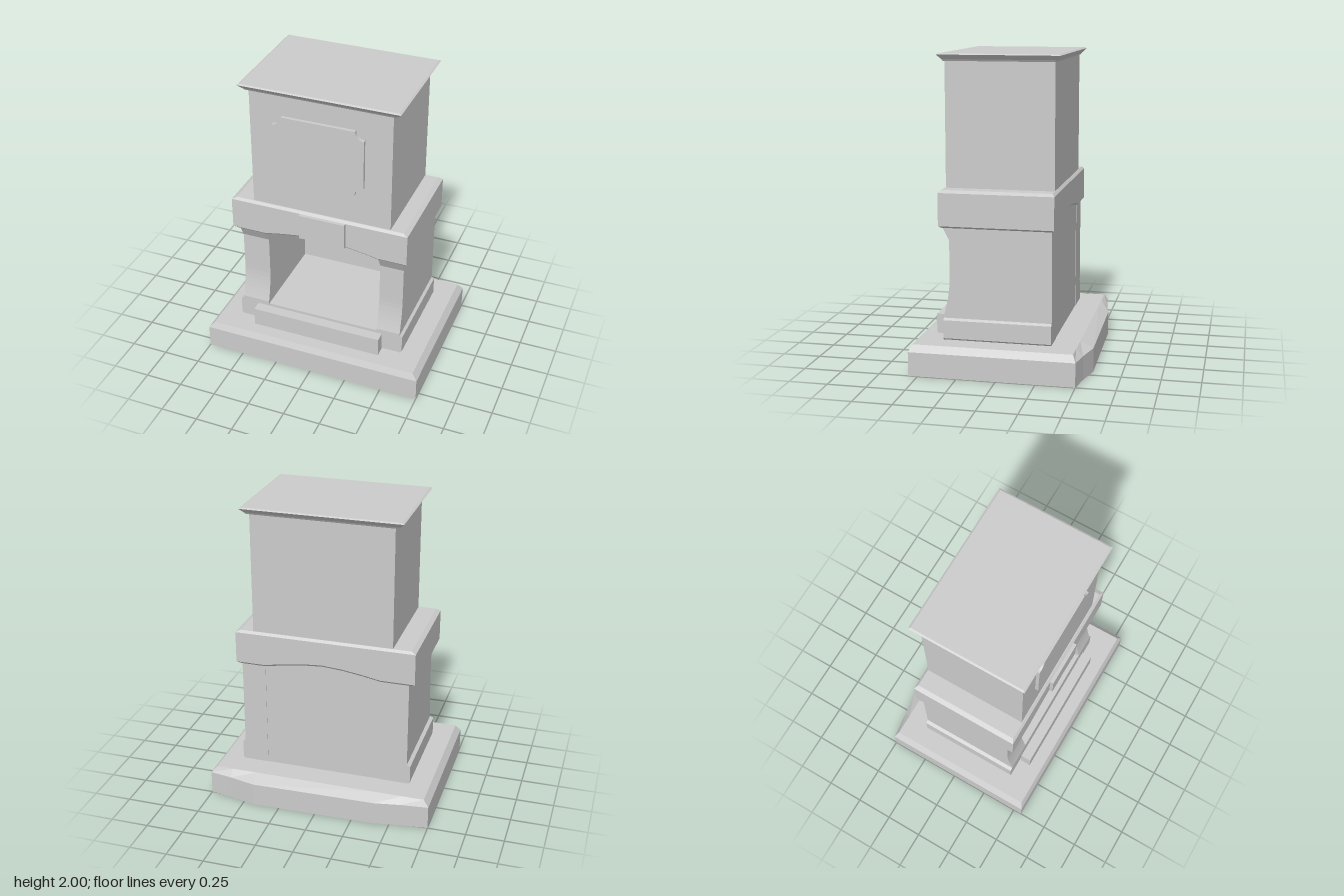
import * as THREE from 'three';

const material = new THREE.MeshStandardMaterial({ color: 0xcccccc, flatShading: true, side: THREE.DoubleSide });

function add(parent, name, geometry) {
  const mesh = new THREE.Mesh(geometry, material);
  mesh.name = name;
  parent.add(mesh);
  return mesh;
}

// Box given by its limits on each axis
function box(x0, x1, y0, y1, z0, z1) {
  return new THREE.BoxGeometry(x1 - x0, y1 - y0, z1 - z0)
    .translate((x0 + x1) / 2, (y0 + y1) / 2, (z0 + z1) / 2);
}

// Skin a series of rings with equal point counts, with optional end caps
function loft(rings, capStart = true, capEnd = true) {
  const out = [];
  const tri = (a, b, c) => out.push(...a, ...b, ...c);
  const n = rings[0].length;
  for (let r = 0; r < rings.length - 1; r++) {
    for (let i = 0; i < n; i++) {
      const j = (i + 1) % n;
      const [a, b, c, d] = [rings[r][i], rings[r][j], rings[r + 1][j], rings[r + 1][i]];
      tri(a, b, c);
      tri(a, c, d);
    }
  }
  const first = rings[0], last = rings[rings.length - 1];
  for (let i = 1; i < n - 1; i++) {
    if (capStart) tri(first[0], first[i + 1], first[i]);
    if (capEnd) tri(last[0], last[i], last[i + 1]);
  }
  const g = new THREE.BufferGeometry();
  g.setAttribute('position', new THREE.Float32BufferAttribute(out, 3));
  g.computeVertexNormals();
  return g;
}

const rect = (x0, x1, z0, z1, y) => [[x0, y, z1], [x1, y, z1], [x1, y, z0], [x0, y, z0]];
const polygon = (pts) => new THREE.Shape(pts.map(([x, y]) => new THREE.Vector2(x, y)));
const extrude = (shape, depth) =>
  new THREE.ExtrudeGeometry(shape, { depth, bevelEnabled: false, curveSegments: 8 });

// Height of the arched underside of the mantel at x
const archPoints = [[-0.375, 0.92], [-0.25, 0.943], [-0.12, 0.962], [0.015, 0.972],
  [0.15, 0.962], [0.28, 0.943], [0.405, 0.92]];

function createBase() {
  const group = new THREE.Group();
  group.name = 'base';
  // Slab outline with a gently bulging back edge
  const outline = [[-0.75, 0.56], [0.75, 0.56], [0.75, -0.5], [0.6, -0.525],
    [0.43, -0.565], [-0.4, -0.55], [-0.57, -0.52], [-0.75, -0.5]];
  const level = (y) => outline.map(([x, z]) => [x, y, z]);
  const top = outline.map(([x, z]) =>
    [THREE.MathUtils.clamp(x, -0.715, 0.715), 0.197, z > 0 ? 0.54 : -0.48]);
  add(group, 'baseSlab', loft([level(0), level(0.155), top], false));
  // Underside stops short of the bulge
  add(group, 'baseUnderside', new THREE.PlaneGeometry(1.5, 1.06).rotateX(Math.PI / 2).translate(0, 0, 0.03));
  return group;
}

function createPillar(name, inner, outer, plinthOuter) {
  const group = new THREE.Group();
  group.name = name;
  // Side profile with a curved front, drawn as (z, y)
  const shape = new THREE.Shape();
  shape.moveTo(-0.32, 0.33);
  shape.lineTo(0.375, 0.33);
  shape.lineTo(0.375, 0.35);
  shape.bezierCurveTo(0.355, 0.42, 0.335, 0.5, 0.335, 0.6);
  shape.lineTo(0.335, 0.84);
  shape.lineTo(0.38, 0.925);
  shape.lineTo(0.38, 0.94);
  shape.lineTo(-0.32, 0.94);
  const x0 = Math.min(inner, outer), x1 = Math.max(inner, outer);
  add(group, 'pillarShaft', extrude(shape, x1 - x0).rotateY(-Math.PI / 2).translate(x1, 0, 0));
  // Plinth block with a small chamfer on its outer side
  const s = Math.sign(outer);
  const plinth = polygon([[inner, 0.195], [plinthOuter - s * 0.01, 0.195], [plinthOuter, 0.207],
    [plinthOuter, 0.325], [outer, 0.337], [inner, 0.337]]);
  add(group, 'pillarPlinth', extrude(plinth, 0.695).translate(0, 0, -0.32));
  return group;
}

function createMantel() {
  const group = new THREE.Group();
  group.name = 'mantel';
  // Chamfered cross-section at x, with its underside at height b
  const zf = 0.397, zb = -0.338, c = 0.015;
  const section = (x, b) => [[zf - c, b], [zb + c, b], [zb, b + c], [zb, 1.145],
    [zb + c, 1.16], [zf - c, 1.16], [zf, 1.145], [zf, b + c]].map(([z, y]) => [x, y, z]);
  const end = (x) => section(x, 0.92).map(([, y, z]) => [x,
    y < 1 ? 0.935 : 1.145, z > 0 ? zf : zb]);
  add(group, 'mantelBeam', loft([
    end(-0.6), section(-0.57, 0.92),
    ...archPoints.map(([x, y]) => section(x, y)),
    section(0.57, 0.92), end(0.6)]));
  // Keystone follows the arch below
  const key = polygon([[-0.12, 0.972], [0.035, 0.982], [0.19, 0.968], [0.19, 1.145], [-0.12, 1.145]]);
  add(group, 'keystone', extrude(key, 0.03).translate(0, 0, 0.39));
  return group;
}

function createChimney() {
  const group = new THREE.Group();
  group.name = 'chimney';
  add(group, 'chimneyBreast', box(-0.45, 0.482, 1.155, 1.96, -0.32, 0.375));

  // Plaque with scooped corners
  const [l, r, b, t, k] = [-0.293, 0.307, 1.37, 1.818, 0.058];
  const plaque = new THREE.Shape();
  plaque.moveTo(l + k, b);
  plaque.lineTo(r - k, b);
  plaque.absarc(r, b, k, Math.PI, Math.PI / 2, true);
  plaque.absarc(r, t, k, Math.PI * 1.5, Math.PI, true);
  plaque.absarc(l, t, k, 0, -Math.PI / 2, true);
  plaque.absarc(l, b, k, Math.PI / 2, 0, true);
  add(group, 'plaque', extrude(plaque, 0.03).translate(0, 0, 0.367));

  // Flared cap
  const ring = (d, y) => rect(-0.51 + d, 0.538 - d, -0.36 + d, 0.415 - d, y);
  add(group, 'chimneyCap', loft([ring(0.035, 1.953), ring(0.027, 1.965), ring(0, 1.993), ring(0.012, 2)]));
  return group;
}

export function createModel() {
  const model = new THREE.Group();
  model.name = 'fireplace';
  model.add(createBase());
  model.add(createPillar('rightPillar', -0.375, -0.56, -0.583));
  model.add(createPillar('leftPillar', 0.405, 0.565, 0.583));

  // Firebox floor, back wall and front hearth step
  add(model, 'fireboxFloor', box(-0.375, 0.405, 0.195, 0.333, -0.317, 0.372));
  add(model, 'fireboxBack', box(-0.375, 0.405, 0.333, 0.985, -0.317, -0.25));
  add(model, 'hearthStep', box(-0.45, 0.445, 0.195, 0.325, 0.385, 0.455));

  model.add(createMantel());
  model.add(createChimney());
  return model;
}
